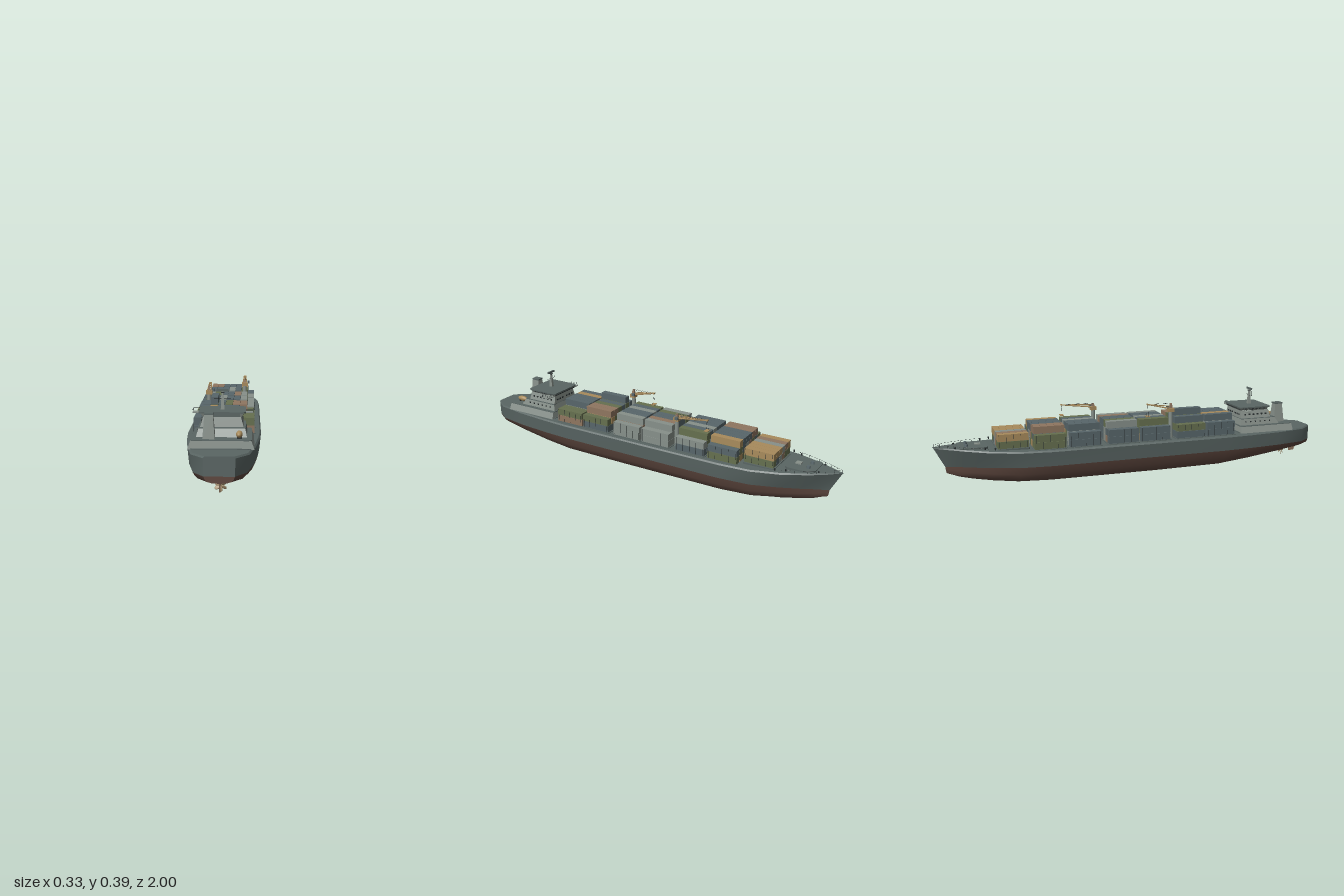
import * as THREE from 'three';
import { toCreasedNormals } from 'three/addons/utils/BufferGeometryUtils.js';

const mat = (name, color) => Object.assign(new THREE.MeshStandardMaterial({ color }), { name });

export function createModel() {
  const M = {
    hull: mat('slate green hull', 0x5a6664),
    bottom: mat('red brown bottom', 0x5f483f),
    grey: mat('light grey', 0x87908a),
    tan: mat('tan', 0xa88b5c),
    brown: mat('brown', 0x8f7660),
    olive: mat('olive', 0x66704f),
    slate: mat('blue slate', 0x58666a),
    dark: mat('dark', 0x2c3233),
    bronze: mat('bronze', 0xa8926f),
  };
  const ship = new THREE.Group();
  ship.name = 'containerShip';

  // ---- helpers ----
  const add = (parent, name, geo, m, x = 0, y = 0, z = 0) => {
    const mesh = new THREE.Mesh(geo, m);
    mesh.name = name;
    mesh.position.set(x, y, z);
    parent.add(mesh);
    return mesh;
  };
  const group = (name, x = 0, y = 0, z = 0) => {
    const g = new THREE.Group();
    g.name = name;
    g.position.set(x, y, z);
    ship.add(g);
    return g;
  };
  const box = (parent, name, m, w, h, d, x, y, z) => add(parent, name, new THREE.BoxGeometry(w, h, d), m, x, y, z);
  const cyl = (parent, name, m, r0, r1, h, x, y, z, n = 10) => add(parent, name, new THREE.CylinderGeometry(r1, r0, h, n), m, x, y, z);
  // straight bar between two points
  const bar = (parent, name, m, a, b, r = 0.001) => {
    const A = new THREE.Vector3(...a), B = new THREE.Vector3(...b), d = B.clone().sub(A);
    const mesh = add(parent, name, new THREE.CylinderGeometry(r, r, d.length(), 5), m);
    mesh.position.copy(A).lerp(B, 0.5);
    mesh.quaternion.setFromUnitVectors(new THREE.Vector3(0, 1, 0), d.normalize());
  };
  // tapered block: half width and z range at bottom and top
  const block = (parent, name, m, y0, y1, [w0, a0, b0], [w1, a1, b1], x = 0) => {
    const g = new THREE.BoxGeometry(2, 2, 2), p = g.attributes.position;
    for (let i = 0; i < p.count; i++) {
      const up = p.getY(i) > 0, aft = p.getZ(i) > 0;
      p.setXYZ(i, p.getX(i) * (up ? w1 : w0), up ? y1 : y0, up ? (aft ? b1 : a1) : (aft ? b0 : a0));
    }
    g.computeVertexNormals();
    add(parent, name, g, m, x);
  };
  // low slab with rounded corners
  const slab = (parent, name, m, hw, z0, z1, y0, h, r = 0.012) => {
    const s = new THREE.Shape(), q = Math.PI / 2;
    s.absarc(hw - r, -z0 - r, r, 0, q);
    s.absarc(-hw + r, -z0 - r, r, q, 2 * q);
    s.absarc(-hw + r, -z1 + r, r, 2 * q, 3 * q);
    s.absarc(hw - r, -z1 + r, r, 3 * q, 4 * q);
    const g = new THREE.ExtrudeGeometry(s, { depth: h, bevelEnabled: false, curveSegments: 3 });
    add(parent, name, g.rotateX(-Math.PI / 2), m, 0, y0, 0);
  };

  // ---- hull: z, deck half width, waterline half width, keel height, deck height ----
  const WL = 0.1;
  const stations = [
    [-1, 0.001, 0.001, 0.068, 0.2], [-0.93, 0.044, 0.027, 0.045, 0.197], [-0.86, 0.08, 0.058, 0.033, 0.193],
    [-0.75, 0.126, 0.1, 0.02, 0.187], [-0.61, 0.158, 0.142, 0.008, 0.181], [-0.45, 0.165, 0.157, 0.003, 0.178],
    [0.1, 0.165, 0.158, 0.001, 0.177], [0.45, 0.165, 0.158, 0.004, 0.177], [0.6, 0.157, 0.15, 0.02, 0.177],
    [0.78, 0.14, 0.133, 0.046, 0.177], [0.93, 0.115, 0.106, 0.066, 0.178], [1, 0.062, 0.06, 0.072, 0.178],
  ];
  const rake = (z, k) => (z < -0.6 ? -0.6 + (z + 0.6) * k : z);
  const loft = (sections, crease) => {
    const n = sections[0].length, idx = [], last = (sections.length - 1) * n;
    for (let s = 0; s < sections.length - 1; s++)
      for (let p = 0; p < n - 1; p++) {
        const a = s * n + p, b = a + 1, c = a + n, d = c + 1;
        idx.push(a, b, c, b, d, c);
      }
    for (let i = 1; i < n - 1; i++) idx.push(last, last + i, last + i + 1);
    const g = new THREE.BufferGeometry();
    g.setAttribute('position', new THREE.Float32BufferAttribute(sections.flat(2), 3));
    g.setIndex(idx);
    return toCreasedNormals(g, crease);
  };
  const mirror = (pts) => pts.map(([x, y, z]) => [-x, y, z]).reverse();
  const topside = stations.map(([z, wd, ww, , yd]) => {
    const half = [[ww, WL, rake(z, 0.8625)], [wd, yd - 0.007, rake(z, 0.985)], [Math.max(wd - 0.006, wd * 0.6), yd, z]];
    return [...half, ...mirror(half)];
  });
  const underside = stations.map(([z, , ww, k]) => {
    const half = [[0, 0], [0.5, 0.07], [0.82, 0.28], [0.93, 0.6], [1, 1]]
      .map(([fx, fy]) => [ww * fx, k + (WL - k) * fy, rake(z, 0.85 + 0.0125 * fy)]);
    return [...mirror(half.slice(1)), ...half];
  });
  add(ship, 'hullTopsideAndDeck', loft(topside, 0.55), M.hull);
  add(ship, 'hullBottom', loft(underside, 1.0), M.bottom);

  // ---- propeller, shaft and rudder ----
  const prop = group('propeller', 0, 0.034, 0.87);
  cyl(prop, 'hub', M.bronze, 0.006, 0.004, 0.02, 0, 0, 0).rotation.x = Math.PI / 2;
  for (let i = 0; i < 6; i++) {
    const arm = new THREE.Group();
    arm.name = 'blade';
    arm.rotation.z = (i * Math.PI) / 3;
    const blade = add(arm, 'bladeFace', new THREE.SphereGeometry(1, 8, 6), M.bronze, 0, 0.016, 0);
    blade.scale.set(0.009, 0.0115, 0.0015);
    blade.rotation.y = 0.5;
    prop.add(arm);
  }
  bar(ship, 'propellerShaft', M.dark, [0, 0.034, 0.87], [0, 0.05, 0.72], 0.004);
  bar(ship, 'shaftStrut', M.dark, [0, 0.034, 0.84], [0, 0.065, 0.84], 0.003);
  block(ship, 'rudder', M.brown, 0.026, 0.066, [0.002, 0.92, 0.95], [0.003, 0.915, 0.963]);
  cyl(ship, 'rudderStock', M.brown, 0.004, 0.004, 0.02, 0, 0.072, 0.93);

  // ---- container bays: front z, aft z, base y, top colours, tier counts, bottom colours of the outer columns ----
  const C = { t: M.tan, b: M.brown, o: M.olive, g: M.grey, s: M.slate };
  const cycle = 'sgoosgbsogst';
  const bays = [
    [-0.705, -0.558, 0.189, 'tbgttt', '222222', 'oo'], [-0.535, -0.383, 0.18, 'obbsssts', '23333332', 'oo'],
    [-0.363, -0.208, 0.18, 'ssssgsog', '23333332', 'ss'], [-0.168, -0.013, 0.18, 'sgossbgg', '23333332', 'sg'],
    [0, 0.155, 0.18, 'sosgssgg', '23333332', 'sg'], [0.192, 0.347, 0.18, 'osssobbo', '23433332', 'ss'],
    [0.357, 0.513, 0.18, 'sstsssoo', '23333322', 'sb'],
  ];
  const TIER = 0.035, COL = 0.0338;
  bays.forEach(([z0, z1, y0, colours, tiers, outer], bi) => {
    const bay = group('containerBay');
    const n = colours.length, hw = (n * COL) / 2, zc = (z0 + z1) / 2;
    slab(bay, 'hatchCover', M.hull, hw + 0.005, z0 - 0.006, z1 + 0.006, y0 - 0.012, 0.012, 0.01);
    for (let c = 0; c < n; c++) {
      const count = +tiers[c], x = (c - (n - 1) / 2) * COL;
      for (let t = 0; t < count; t++) {
        let key = cycle[(bi * 5 + c * 3 + t * 4) % cycle.length];
        if (t === count - 1) key = colours[c];
        else if (c === 0 || c === n - 1) key = outer[c ? 1 : 0];
        box(bay, 'container', C[key], COL - 0.0012, TIER - 0.001, z1 - z0, x, y0 + (t + 0.5) * TIER, zc);
      }
    }
    // lashing posts along both sides
    for (const s of [-1, 1])
      for (let i = 0; i < 5; i++)
        box(bay, 'lashingPost', M.dark, 0.001, TIER * 2 - 0.004, 0.001, s * hw, y0 + TIER, z0 + 0.006 + (i * (z1 - z0 - 0.012)) / 4);
  });

  // ---- deck cranes ----
  const crane = (x, z, reach, rise, top, cabX) => {
    const g = group('deckCrane', x, 0, z);
    cyl(g, 'pedestal', M.grey, 0.012, 0.01, 0.14, 0, 0.245, 0, 12);
    box(g, 'machineryHouse', M.tan, 0.032, 0.018, 0.028, 0, 0.321, 0);
    block(g, 'topFrame', M.brown, 0.33, top, [0.007, -0.007, 0.007], [0.005, -0.004, 0.005]);
    box(g, 'operatorCab', M.slate, 0.012, 0.014, 0.016, cabX, 0.331, -0.008);
    const foot = 0.328, tip = foot + rise;
    const at = (t, dx, dy) => [dx * (1 - 0.5 * t), foot + rise * t + dy * (1 - t), -0.01 - reach * t];
    for (const s of [-1, 1]) {
      bar(g, 'boomChord', M.tan, at(0, s * 0.01, 0), at(1, s * 0.01, 0), 0.0026);
      bar(g, 'stayWire', M.dark, [s * 0.005, top, 0], at(1, s * 0.01, 0), 0.0004);
      bar(g, 'hoistWire', M.dark, at(1, s * 0.006, 0), [s * 0.012, 0.296, -0.01 - reach], 0.0005);
    }
    bar(g, 'boomTopChord', M.tan, at(0, 0, 0.012), at(1, 0, 0), 0.0024);
    for (let i = 0; i < 8; i++) {
      const s = i % 2 ? 1 : -1;
      bar(g, 'boomLacing', M.tan, at(i / 8, s * 0.01, 0), at((i + 1) / 8, -s * 0.01, 0), 0.0018);
    }
    box(g, 'boomHead', M.tan, 0.014, 0.006, 0.008, 0, tip, -0.01 - reach);
    box(g, 'spreader', M.tan, 0.03, 0.003, 0.02, 0, 0.295, -0.01 - reach);
  };
  crane(-0.085, 0.174, 0.115, 0.027, 0.354, 0.018);
  crane(0.085, -0.188, 0.155, 0.019, 0.346, 0.02);

  // ---- superstructure ----
  const house = group('superstructure');
  slab(house, 'houseFoundation', M.hull, 0.125, 0.55, 0.868, 0.174, 0.006, 0.02);
  block(house, 'lowerTier', M.grey, 0.176, 0.21, [0.134, 0.555, 0.86], [0.122, 0.56, 0.855]);
  slab(house, 'lowerTierDeck', M.hull, 0.123, 0.556, 0.858, 0.21, 0.003, 0.015);
  block(house, 'middleTier', M.grey, 0.213, 0.245, [0.104, 0.565, 0.79], [0.096, 0.57, 0.765]);
  block(house, 'middleTierDeck', M.hull, 0.245, 0.247, [0.098, 0.57, 0.768], [0.098, 0.57, 0.768]);
  block(house, 'upperTier', M.grey, 0.247, 0.287, [0.09, 0.572, 0.745], [0.078, 0.575, 0.735]);
  box(house, 'bridgeWings', M.grey, 0.26, 0.004, 0.045, 0, 0.289, 0.6);
  block(house, 'bridge', M.grey, 0.287, 0.303, [0.08, 0.575, 0.725], [0.09, 0.565, 0.73]);
  slab(house, 'bridgeRoof', M.hull, 0.098, 0.562, 0.74, 0.302, 0.006, 0.015);
  box(house, 'bridgeAftPanel', M.hull, 0.15, 0.015, 0.006, 0, 0.2945, 0.7285);
  // windows
  for (let i = 0; i < 9; i++) box(house, 'bridgeWindow', M.dark, 0.014, 0.008, 0.004, (i - 4) * 0.0185, 0.296, 0.5705);
  for (const s of [-1, 1]) {
    for (let i = 0; i < 6; i++) {
      box(house, 'bridgeSideWindow', M.dark, 0.004, 0.006, 0.012, s * 0.0855, 0.296, 0.6 + i * 0.021);
      box(house, 'upperPorthole', M.dark, 0.004, 0.008, 0.009, s * 0.0845, 0.266, 0.598 + i * 0.024);
      box(house, 'middlePorthole', M.dark, 0.004, 0.006, 0.007, s * 0.1, 0.23, 0.595 + i * 0.028);
    }
    for (let i = 0; i < 3; i++) box(house, 'forwardWindow', M.dark, 0.012, 0.008, 0.004, s * (0.018 + i * 0.022), 0.266, 0.5735);
    // wing railings
    const edge = [[0.08, 0.578], [0.129, 0.578], [0.129, 0.622], [0.08, 0.622]];
    edge.forEach(([x, z], i) => {
      bar(house, 'wingRailPost', M.dark, [s * x, 0.289, z], [s * x, 0.303, z], 0.0006);
      if (i) for (const y of [0.297, 0.303]) bar(house, 'wingRail', M.dark, [s * edge[i - 1][0], y, edge[i - 1][1]], [s * x, y, z], 0.0005);
    });
  }
  // funnel
  block(house, 'funnel', M.grey, 0.212, 0.31, [0.025, 0.776, 0.836], [0.017, 0.785, 0.825], -0.05);
  block(house, 'funnelCap', M.hull, 0.309, 0.316, [0.018, 0.783, 0.827], [0.018, 0.783, 0.827], -0.05);
  // lifeboat and cradle
  const boat = add(house, 'lifeboat', new THREE.SphereGeometry(1, 14, 10), M.tan, 0.073, 0.23, 0.812);
  boat.scale.set(0.0135, 0.014, 0.032);
  for (const z of [0.797, 0.827]) box(house, 'lifeboatCradle', M.dark, 0.02, 0.01, 0.004, 0.073, 0.217, z);
  // radar mast
  block(house, 'mast', M.grey, 0.308, 0.385, [0.008, 0.652, 0.67], [0.004, 0.657, 0.665]);
  bar(house, 'mastYard', M.dark, [-0.036, 0.354, 0.661], [0.036, 0.354, 0.661], 0.0009);
  bar(house, 'aerial', M.dark, [-0.03, 0.354, 0.661], [-0.03, 0.381, 0.661], 0.0006);
  box(house, 'radarScanner', M.hull, 0.05, 0.009, 0.009, 0, 0.39, 0.661);
  box(house, 'lowerRadar', M.dark, 0.014, 0.003, 0.014, 0, 0.38, 0.661);

  // ---- foredeck ----
  const fore = group('foredeck');
  slab(fore, 'foredeckPlate', M.hull, 0.07, -0.885, -0.745, 0.186, 0.012, 0.02);
  box(fore, 'foreHatch', M.grey, 0.028, 0.007, 0.028, 0, 0.2, -0.79);
  for (const s of [-1, 1]) {
    cyl(fore, 'windlass', M.slate, 0.01, 0.008, 0.012, s * 0.028, 0.203, -0.845);
    for (const [x, z] of [[0.045, -0.9], [0.1, -0.765], [0.12, -0.72]]) cyl(fore, 'bollard', M.dark, 0.003, 0.004, 0.01, s * x, 0.197, z, 8);
    // bow rail follows the deck edge
    const rail = [[0.118, 0.187, -0.75], [0.098, 0.19, -0.805], [0.074, 0.193, -0.86], [0.056, 0.195, -0.895], [0.037, 0.197, -0.93], [0.019, 0.199, -0.965], [0.001, 0.2, -0.993]];
    rail.forEach(([x, y, z], i) => {
      bar(fore, 'bowRailPost', M.dark, [s * x, y - 0.001, z], [s * x, y + 0.012, z], 0.0007);
      if (i) {
        const [px, py, pz] = rail[i - 1];
        bar(fore, 'bowRail', M.dark, [s * px, py + 0.012, pz], [s * x, y + 0.012, z], 0.0005);
      }
    });
  }
  return ship;
}
